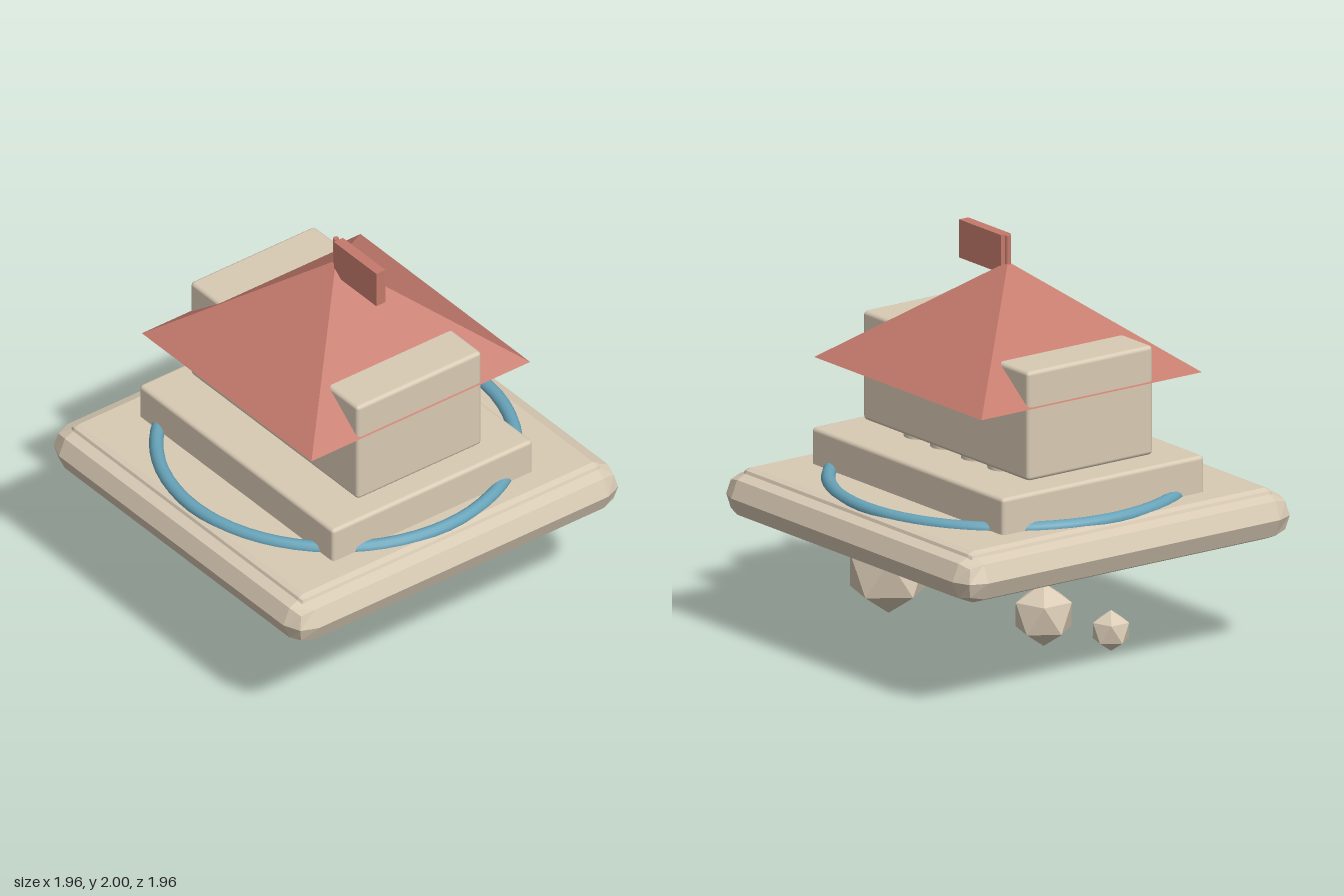
import * as THREE from 'three';
import { RoundedBoxGeometry } from 'three/addons/geometries/RoundedBoxGeometry.js';

export function createModel() {
  const stone = new THREE.MeshStandardMaterial({ name: 'sandStone', color: 0xd8cab4 });
  // faceted parts share the stone colour
  const facetedStone = new THREE.MeshStandardMaterial({ name: 'sandStoneFaceted', color: 0xd8cab4, flatShading: true });
  const red = new THREE.MeshStandardMaterial({ name: 'clayRed', color: 0xc47a6c, flatShading: true });
  const blue = new THREE.MeshStandardMaterial({ name: 'waterBlue', color: 0x68a4ba });

  const model = new THREE.Group();
  model.name = 'floatingShrine';

  const add = (name, geometry, material, x, y, z) => {
    const mesh = new THREE.Mesh(geometry, material);
    mesh.name = name;
    mesh.position.set(x, y, z);
    model.add(mesh);
    return mesh;
  };

  // rounded slab given by half sizes and its bottom and top heights
  const slab = (name, halfX, halfZ, y0, y1, radius, segments, material) =>
    add(name, new RoundedBoxGeometry(halfX * 2, y1 - y0, halfZ * 2, segments, radius),
      material, 0, (y0 + y1) / 2, 0);

  // floating base and its terraces
  slab('islandBase', 0.98, 0.98, 0.56, 0.8, 0.12, 1, facetedStone);
  slab('upperTerrace', 0.9, 0.9, 0.73, 0.812, 0.04, 1, facetedStone);
  slab('platform', 0.745, 0.595, 0.79, 0.99, 0.02, 2, stone);

  // water ring passing through the platform
  const ring = add('waterRing', new THREE.TorusGeometry(0.845, 0.034, 12, 64), blue, 0, 0.812, 0);
  ring.rotation.x = Math.PI / 2;

  // hall raised on a row of columns at the back
  slab('hall', 0.643, 0.37, 1.01, 1.545, 0.02, 2, stone);
  for (const x of [-0.325, -0.12, 0.12, 0.325]) {
    add('column', new THREE.CylinderGeometry(0.08, 0.08, 0.2, 16), stone, x, 1.0, -0.27);
  }

  // pyramid roof
  const roof = add('roof', new THREE.ConeGeometry(0.65 * Math.SQRT2, 0.505, 4), red, 0, 1.6175, 0);
  roof.rotation.y = Math.PI / 4;

  // flag pole and flag
  add('flagPole', new THREE.CylinderGeometry(0.015, 0.015, 1.03, 8), red, 0, 1.485, 0);
  add('flag', new THREE.BoxGeometry(0.326, 0.187, 0.054), red, 0.181, 1.9065, 0);

  // rocks hovering below, each standing on one corner
  const rocks = [
    [0.203, 0.412, -0.55, 0.213],
    [-0.352, 0.235, -0.057, 0.155],
    [-0.394, 0.1, 0.308, 0.1],
  ];
  for (const [x, y, z, radius] of rocks) {
    const rock = add('floatingRock', new THREE.IcosahedronGeometry(radius, 0), facetedStone, x, y, z);
    rock.rotation.z = -0.5536;
  }

  return model;
}
